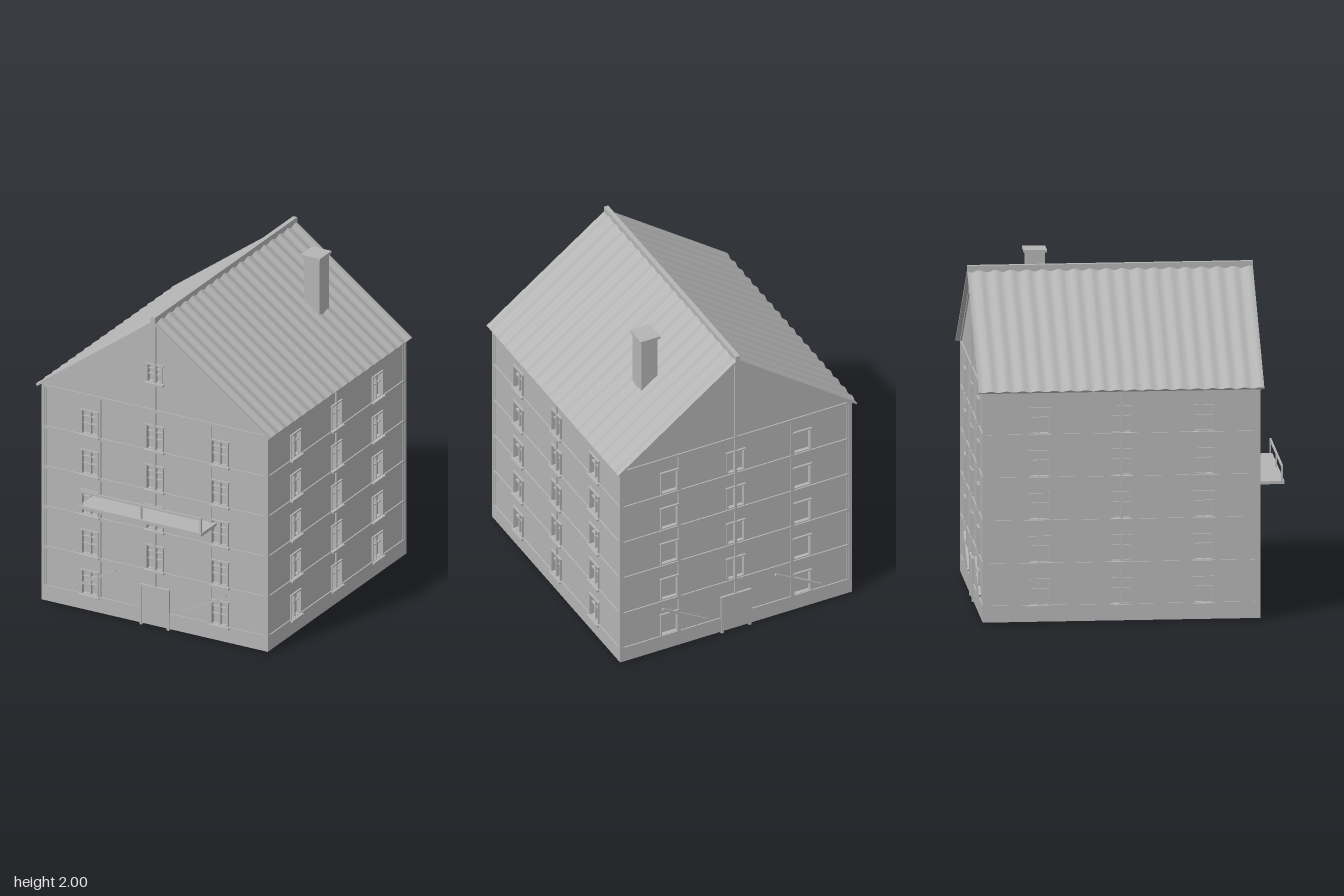
import * as THREE from 'three';
import { toCreasedNormals } from 'three/addons/utils/BufferGeometryUtils.js';

const plaster = new THREE.MeshStandardMaterial({ color: 0xb4b4b4 });
plaster.name = 'plain grey';

const FLOORS = [0.11, 0.365, 0.62, 0.875, 1.13];
const BEAMS = [0.1, 0.35, 0.605, 0.86, 1.115, 1.375];
const CENTRE_Z = -0.0725, HALF_W = 0.76, HALF_D = 0.8125;
const EAVE = 1.38, APEX = 1.94, WIN_W = 0.11, WIN_H = 0.15;
const PITCH = Math.atan2(0.575, 0.785);

function mesh(parent, name, geometry) {
  const m = new THREE.Mesh(geometry, plaster);
  m.name = name;
  parent.add(m);
  return m;
}

// Box given by its extents on each axis
function box(parent, name, x0, x1, y0, y1, z0, z1) {
  const m = mesh(parent, name, new THREE.BoxGeometry(x1 - x0, y1 - y0, z1 - z0));
  m.position.set((x0 + x1) / 2, (y0 + y1) / 2, (z0 + z1) / 2);
  return m;
}

// Slanting timber between two points of a wall
function slant(parent, name, x0, y0, x1, y1, thick, z0, z1) {
  const len = Math.hypot(x1 - x0, y1 - y0);
  const m = mesh(parent, name, new THREE.BoxGeometry(len, thick, z1 - z0));
  m.position.set((x0 + x1) / 2, (y0 + y1) / 2, (z0 + z1) / 2);
  m.rotation.z = Math.atan2(y1 - y0, x1 - x0);
}

function outline(half, gabled, inset = 0) {
  const h = half - inset;
  const pts = [[-h, 0.02], [h, 0.02], [h, EAVE]];
  if (gabled) pts.push([0, APEX - inset * 0.3]);
  pts.push([-h, EAVE]);
  return new THREE.Shape(pts.map(p => new THREE.Vector2(...p)));
}

// Window frame, glazing bars and optional sill in a wall opening
function windowUnit(parent, w, glazing, sill) {
  const g = new THREE.Group();
  g.name = 'window';
  g.position.set(w.x, w.y, 0);
  parent.add(g);
  const a = w.w / 2, t = 0.008;
  for (const s of [-1, 1]) box(g, 'windowJamb', s * a - t / 2, s * a + t / 2, 0, w.h, -0.025, 0.003);
  box(g, 'windowHead', -a - 0.008, a + 0.008, w.h - t / 2, w.h + t / 2, -0.025, 0.004);
  if (glazing) {
    box(g, 'windowMullion', -0.004, 0.004, 0, w.h, -0.025, -0.008);
    for (const k of glazing) box(g, 'glazingBar', -a, a, w.h * k - 0.003, w.h * k + 0.003, -0.025, -0.01);
  }
  if (sill) box(g, 'windowSill', -a - 0.012, a + 0.012, -0.016, -0.004, -0.02, 0.016);
}

// One wall with openings, timber frame and windows; its outer plane is local z = 0
function wall(name, half, o) {
  const g = new THREE.Group();
  g.name = name;
  const shape = outline(half - 0.004, o.gabled);
  for (const w of o.windows) {
    const a = w.w / 2;
    shape.holes.push(new THREE.Path([[-a, 0], [-a, w.h], [a, w.h], [a, 0]]
      .map(([x, y]) => new THREE.Vector2(w.x + x, w.y + y))));
    windowUnit(g, w, o.glazing, o.sills);
  }
  const panel = mesh(g, 'wallPanel', new THREE.ExtrudeGeometry(shape, { depth: 0.022, bevelEnabled: false }));
  panel.position.z = -0.03;

  for (const y of BEAMS) box(g, 'floorBeam', -half, half, y - 0.008, y + 0.008, -0.025, 0);
  for (const s of [-1, 1]) box(g, 'cornerPost', s * half - (s > 0 ? 0.022 : 0), s * half + (s < 0 ? 0.022 : 0), 0.1, EAVE, -0.022, 0);
  for (const [x, top] of o.posts) box(g, 'wallPost', x - 0.008, x + 0.008, o.door && x === 0 ? 0.25 : 0.1, top, -0.02, 0);

  if (o.gabled) for (const s of [-1, 1])
    slant(g, 'gableRafter', s * 0.755, EAVE, 0, APEX - 0.008, 0.02, -0.02, 0);
  if (o.door) {
    box(g, 'doorLeaf', -0.085, 0.085, 0.012, 0.245, -0.03, 0.002);
    for (const s of [-1, 1]) box(g, 'doorJamb', s * 0.091 - 0.008, s * 0.091 + 0.008, 0, 0.255, -0.02, 0.006);
    box(g, 'doorHead', -0.099, 0.099, 0.243, 0.257, -0.02, 0.006);
  }
  // Slanting braces beside the door
  for (const [x0, x1] of o.braces || []) slant(g, 'slantingBrace', x0, 0.13, x1, 0.3, 0.013, -0.02, 0.005);
  return g;
}

// Window grid: three columns on every floor
function windowGrid(column, skipDoor) {
  const list = [];
  FLOORS.forEach((y, i) => [-column, 0, column].forEach(x => {
    if (!(skipDoor && i === 0 && x === 0)) list.push({ x, y, w: WIN_W, h: WIN_H });
  }));
  return list;
}

// Corrugated roof sheet, waves across and extruded down the slope
function roofSheet() {
  const width = 1.67, waves = 18, n = waves * 10;
  const pts = [new THREE.Vector2(width / 2, -0.012), new THREE.Vector2(width / 2, 0)];
  for (let i = 1; i <= n; i++)
    pts.push(new THREE.Vector2(width / 2 - width * i / n, 0.005 * Math.sin(i / n * waves * Math.PI * 2)));
  pts.push(new THREE.Vector2(-width / 2, -0.012));
  const geo = new THREE.ExtrudeGeometry(new THREE.Shape(pts), { depth: 0.973, bevelEnabled: false });
  const s = Math.sin(PITCH), c = Math.cos(PITCH);
  geo.applyMatrix4(new THREE.Matrix4().makeBasis(
    new THREE.Vector3(0, 0, -1), new THREE.Vector3(s, c, 0), new THREE.Vector3(c, -s, 0)));
  return toCreasedNormals(geo, 0.7);
}

export function createModel() {
  const house = new THREE.Group();
  house.name = 'house';

  // Inner body and plinth
  const depth = 2 * (HALF_D - 0.03);
  const core = mesh(house, 'innerBody', new THREE.ExtrudeGeometry(outline(HALF_W, true, 0.03), { depth, bevelEnabled: false }));
  core.position.z = CENTRE_Z - depth / 2;
  box(house, 'plinth', -HALF_W, HALF_W, 0.01, 0.1, CENTRE_Z - HALF_D, CENTRE_Z + HALF_D);

  // Gable walls
  const posts = [[-0.37, EAVE], [0, APEX], [0.37, EAVE]];
  const front = wall('frontWall', HALF_W, {
    gabled: true, door: true, sills: true, glazing: [0.42, 0.72], posts,
    windows: [...windowGrid(0.435, true), { x: 0, y: 1.56, w: 0.1, h: 0.11 }],
    braces: [[-0.56, -0.26], [0.19, 0.48]]
  });
  front.position.z = CENTRE_Z + HALF_D;
  const back = wall('backWall', HALF_W, {
    gabled: true, door: true, posts, windows: windowGrid(0.435, true),
    braces: [[0.56, 0.26], [-0.19, -0.48]]
  });
  back.position.z = CENTRE_Z - HALF_D;
  back.rotation.y = Math.PI;
  house.add(front, back);

  // Long side walls
  for (const s of [1, -1]) {
    const side = wall(s > 0 ? 'leftWall' : 'rightWall', HALF_D, {
      sills: true, glazing: [0.6], posts: [[0, EAVE]], windows: windowGrid(0.48, false)
    });
    side.position.set(s * HALF_W, 0, CENTRE_Z);
    side.rotation.y = s * Math.PI / 2;
    house.add(side);
  }

  // Roof slopes and ridge cap
  const sheet = roofSheet();
  for (const s of [1, -1]) {
    const slope = mesh(house, s > 0 ? 'leftRoof' : 'rightRoof', sheet);
    slope.position.set(0, 1.957, CENTRE_Z - 0.0025);
    if (s < 0) slope.rotation.y = Math.PI;
  }
  box(house, 'ridgeCap', -0.014, 0.014, 1.94, 1.98, -0.91, 0.76);

  // Chimney
  box(house, 'chimneyStack', 0.335, 0.44, 1.62, 1.985, -0.535, -0.425);
  box(house, 'chimneyCap', 0.32, 0.45, 1.983, 2, -0.55, -0.415);

  // Balcony with open railing
  box(house, 'balconyFloor', -0.41, 0.41, 0.732, 0.75, 0.73, 0.91);
  box(house, 'balconyRail', -0.405, 0.405, 0.828, 0.842, 0.892, 0.902);
  for (const x of [-0.4, 0, 0.4]) box(house, 'balconyPost', x - 0.005, x + 0.005, 0.75, 0.83, 0.892, 0.902);

  return house;
}
